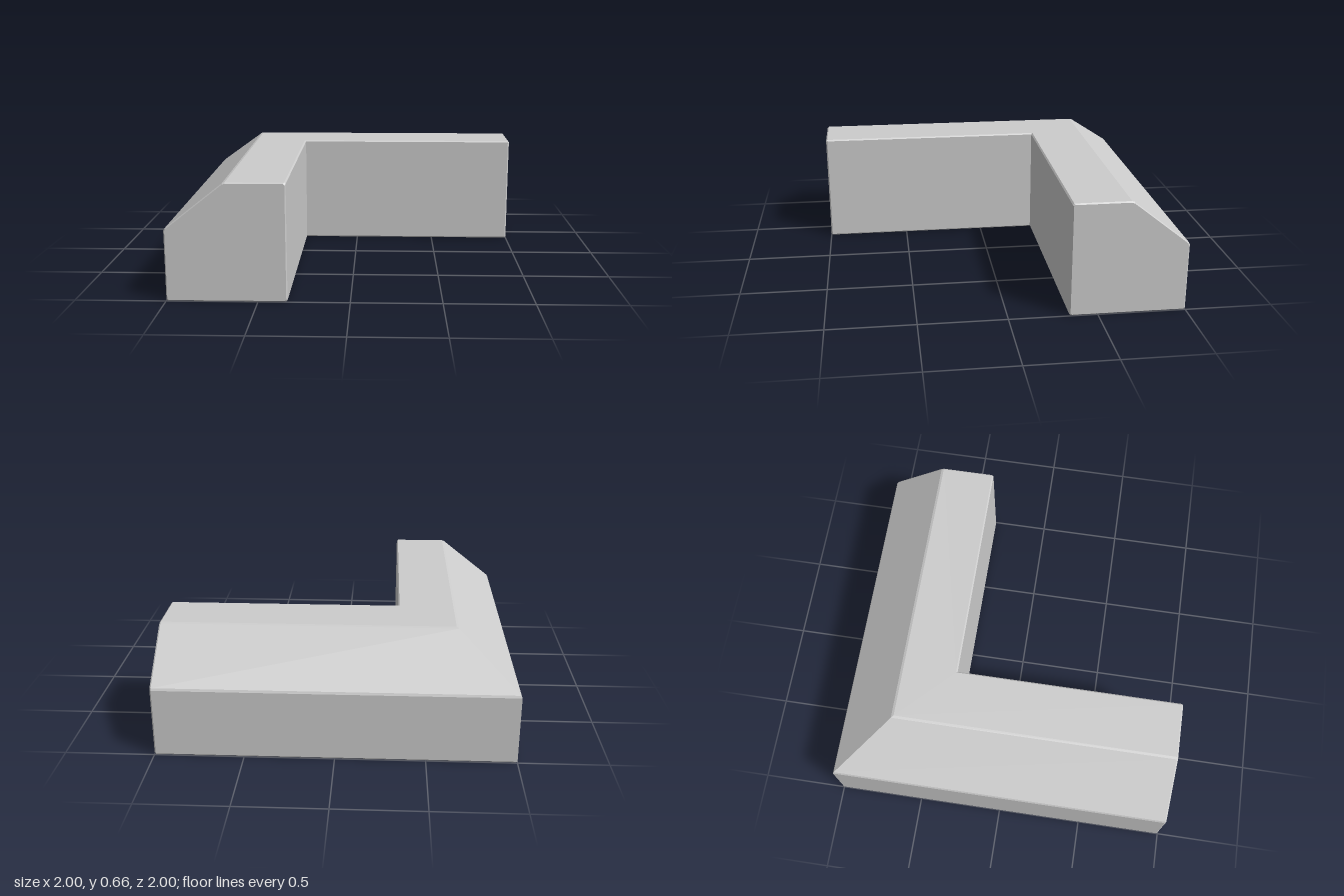
import * as THREE from 'three';

// Cross-section of the wall: d is the distance in from the outer face, y is height
const SECTION = [[0, 0], [0, 0.4], [0.33, 0.66], [0.66, 0.66], [0.66, 0]]
  .map(([d, y]) => new THREE.Vector2(d, y));
const BEVEL = 0.008;

// Cut each corner of the section slightly
function bevelSection(points) {
  const towards = (p, q) => p.clone().add(q.clone().sub(p).setLength(BEVEL));
  const n = points.length;
  return points.flatMap((p, i) => [
    towards(p, points[(i + n - 1) % n]),
    towards(p, points[(i + 1) % n]),
  ]);
}

// Sweep the section along both arms, mitred where they meet
function cornerWallGeometry() {
  const full = bevelSection(SECTION);
  const centre = new THREE.Vector2(0.35, 0.31);
  const inset = full.map(p => p.clone().lerp(centre, 0.02));
  const frontArm = z => p => [-1 + p.x, p.y, z];
  const sideArm = x => p => [x, p.y, -1 + p.x];
  const rings = [
    inset.map(frontArm(1)),
    full.map(frontArm(1 - BEVEL)),
    full.map(p => [-1 + p.x, p.y, -1 + p.x]),
    full.map(sideArm(1 - BEVEL)),
    inset.map(sideArm(1)),
  ];
  const n = full.length;
  const last = rings.length - 1;
  const positions = [];
  const triangle = (a, b, c) => positions.push(...a, ...b, ...c);

  // Long faces
  for (let s = 0; s < last; s++) {
    for (let i = 0; i < n; i++) {
      const j = (i + 1) % n;
      triangle(rings[s][i], rings[s][j], rings[s + 1][i]);
      triangle(rings[s][j], rings[s + 1][j], rings[s + 1][i]);
    }
  }
  // End faces
  for (let i = 1; i < n - 1; i++) {
    triangle(rings[0][0], rings[0][i + 1], rings[0][i]);
    triangle(rings[last][0], rings[last][i], rings[last][i + 1]);
  }

  const geometry = new THREE.BufferGeometry();
  geometry.setAttribute('position', new THREE.Float32BufferAttribute(positions, 3));
  geometry.computeVertexNormals();
  return geometry;
}

export function createModel() {
  const model = new THREE.Group();
  model.name = 'cornerWall';
  const material = new THREE.MeshStandardMaterial({ color: 0xcccccc, flatShading: true });
  const wall = new THREE.Mesh(cornerWallGeometry(), material);
  wall.name = 'slopedCornerBlock';
  model.add(wall);
  return model;
}
